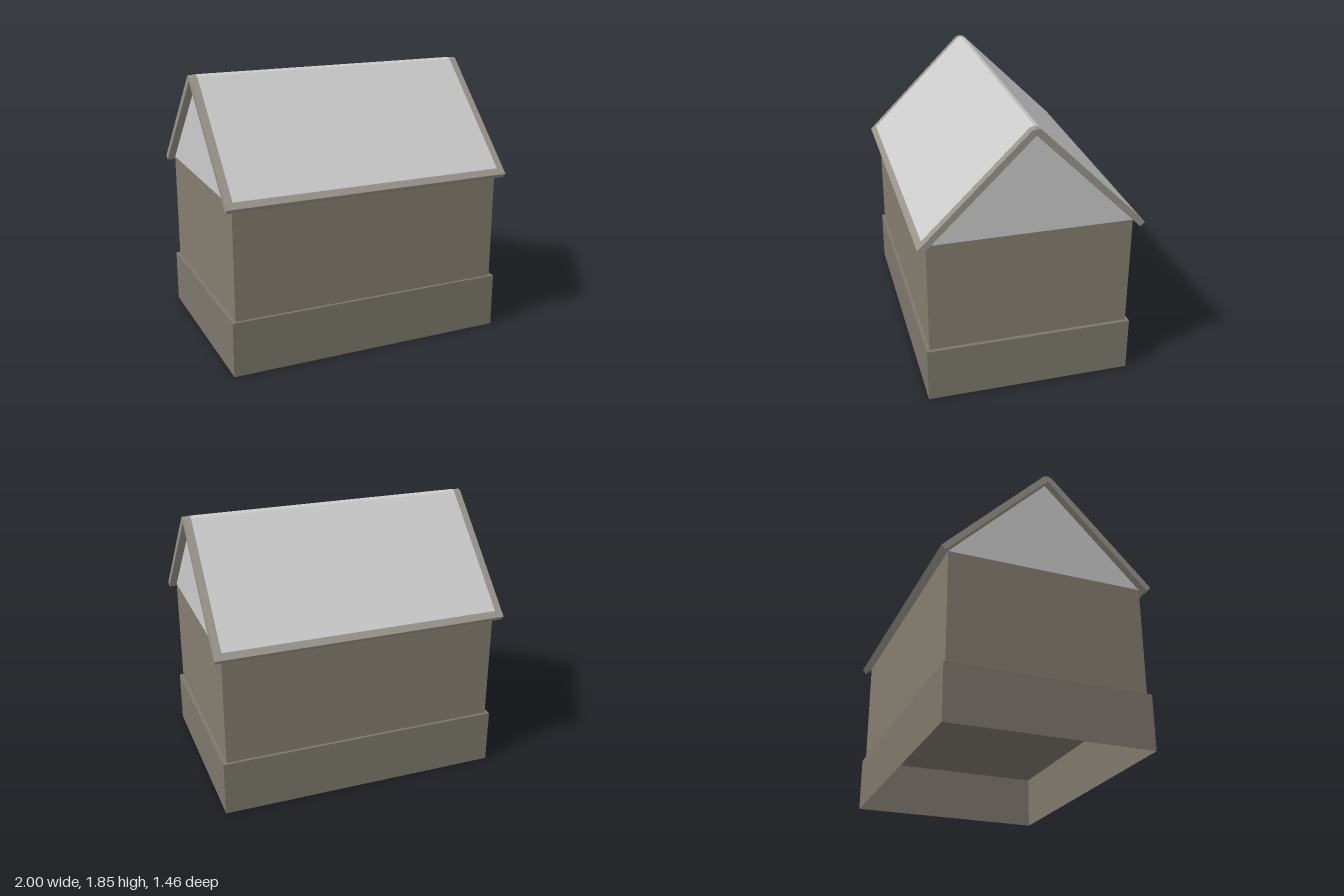
import * as THREE from 'three';

const material = (color) =>
  new THREE.MeshStandardMaterial({ color, flatShading: true, side: THREE.DoubleSide });
const grey = material(0xcccccc);
const wallStone = material(0x857e70);
const baseStone = material(0x7d786d);
const trimWood = material(0x98948a);

function add(group, name, geometry, mat) {
  const mesh = new THREE.Mesh(geometry, mat);
  mesh.name = name;
  group.add(mesh);
  return mesh;
}

// Box shell between two heights, keeping only the listed sides (+x, -x, +y, -y, +z, -z = 0..5)
function shell(width, depth, y0, y1, sides) {
  const geo = new THREE.BoxGeometry(width, y1 - y0, depth);
  const index = Array.from(geo.index.array);
  geo.setIndex(sides.flatMap((s) => index.slice(s * 6, s * 6 + 6)));
  geo.clearGroups();
  return geo.translate(0, (y0 + y1) / 2, 0);
}

// Mirrors a half outline of [z, y] points (ridge last on the outside, first on the inside)
// and extrudes it along x
function roofProfile(outer, inner, length) {
  const mirror = (pts) => pts.slice(0, -1).reverse().map(([z, y]) => [-z, y]);
  const outline = [...outer, ...mirror(outer), ...mirror(inner).reverse(), inner[inner.length - 1],
    ...inner.slice(0, -1).reverse()];
  const shape = new THREE.Shape(outline.map(([z, y]) => new THREE.Vector2(z, y)));
  const geo = new THREE.ExtrudeGeometry(shape, { depth: length, bevelEnabled: false });
  return geo.translate(0, 0, -length / 2).rotateY(-Math.PI / 2);
}

export function createModel() {
  const house = new THREE.Group();
  house.name = 'house';

  // Foundation, hollow and open underneath
  add(house, 'foundation', shell(1.95, 1.38, 0, 0.375, [0, 1, 2, 4, 5]), baseStone);

  // Walls
  add(house, 'walls', shell(1.9, 1.34, 0.375, 1.135, [0, 1, 4, 5]), wallStone);

  // Gable triangles at both ends
  for (const side of [-1, 1]) {
    const triangle = new THREE.Shape([
      new THREE.Vector2(-0.67, 1.135), new THREE.Vector2(0.67, 1.135), new THREE.Vector2(0, 1.8),
    ]);
    const geo = new THREE.ShapeGeometry(triangle).rotateY((side * Math.PI) / 2);
    add(house, side > 0 ? 'leftGable' : 'rightGable', geo.translate(side * 0.95, 0, 0), grey);
  }

  // Roof slab with trimmed edges
  add(house, 'roofTrim', roofProfile(
    [[0.73, 1.138], [0.03, 1.834], [0, 1.845]],
    [[0.703, 1.108], [0, 1.803]], 2), trimWood);

  // Roofing panel lying inside the trim border on both slopes
  const lift = 0.002;
  add(house, 'roofPanel', roofProfile(
    [[0.696, 1.172 + lift], [0.03, 1.834 + lift], [0, 1.845 + lift]],
    [[0.696, 1.165], [0.03, 1.827], [0, 1.838]], 1.9), grey);

  return house;
}
